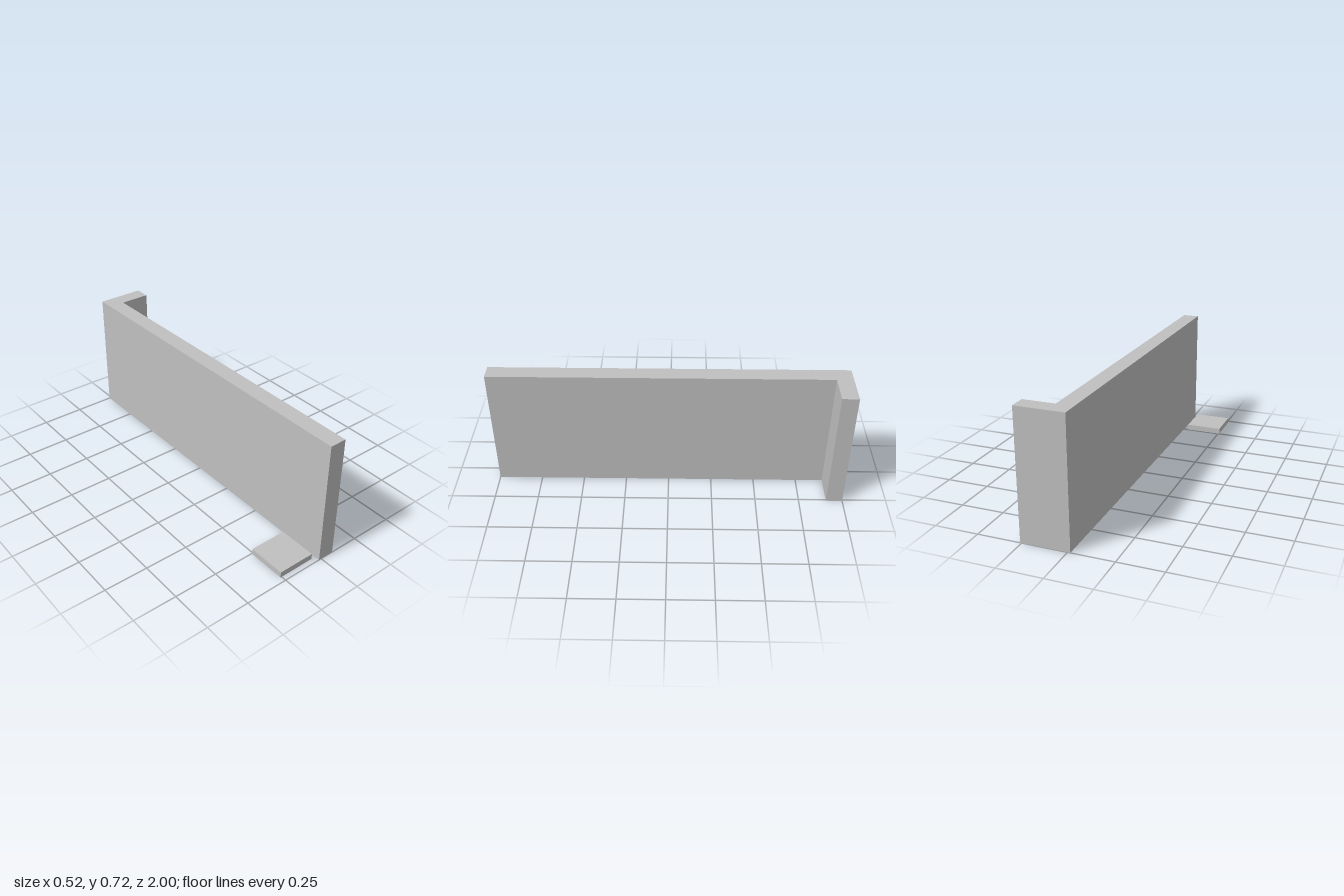
import * as THREE from 'three';

export function createModel() {
  const group = new THREE.Group();
  const grey = new THREE.MeshStandardMaterial({ color: 0xc0c0c0 });
  grey.name = 'light grey';

  // L-shaped wall: plan outline as [x, z], extruded upwards
  const plan = [
    [-0.015, 1], [0.08, 1], [0.08, -0.907],
    [0.258, -0.907], [0.258, -1], [-0.015, -1],
  ];
  const outline = new THREE.Shape(plan.map(([x, z]) => new THREE.Vector2(x, -z)));
  const wallGeometry = new THREE.ExtrudeGeometry(outline, { depth: 0.718, bevelEnabled: false });
  wallGeometry.rotateX(-Math.PI / 2);
  const wall = new THREE.Mesh(wallGeometry, grey);
  wall.name = 'wall';
  group.add(wall);

  // Square slab lying beside the front end of the wall
  const slab = new THREE.Mesh(new THREE.BoxGeometry(0.217, 0.034, 0.217), grey);
  slab.position.set(-0.1495, 0.017, 0.862);
  slab.name = 'floorSlab';
  group.add(slab);

  return group;
}
